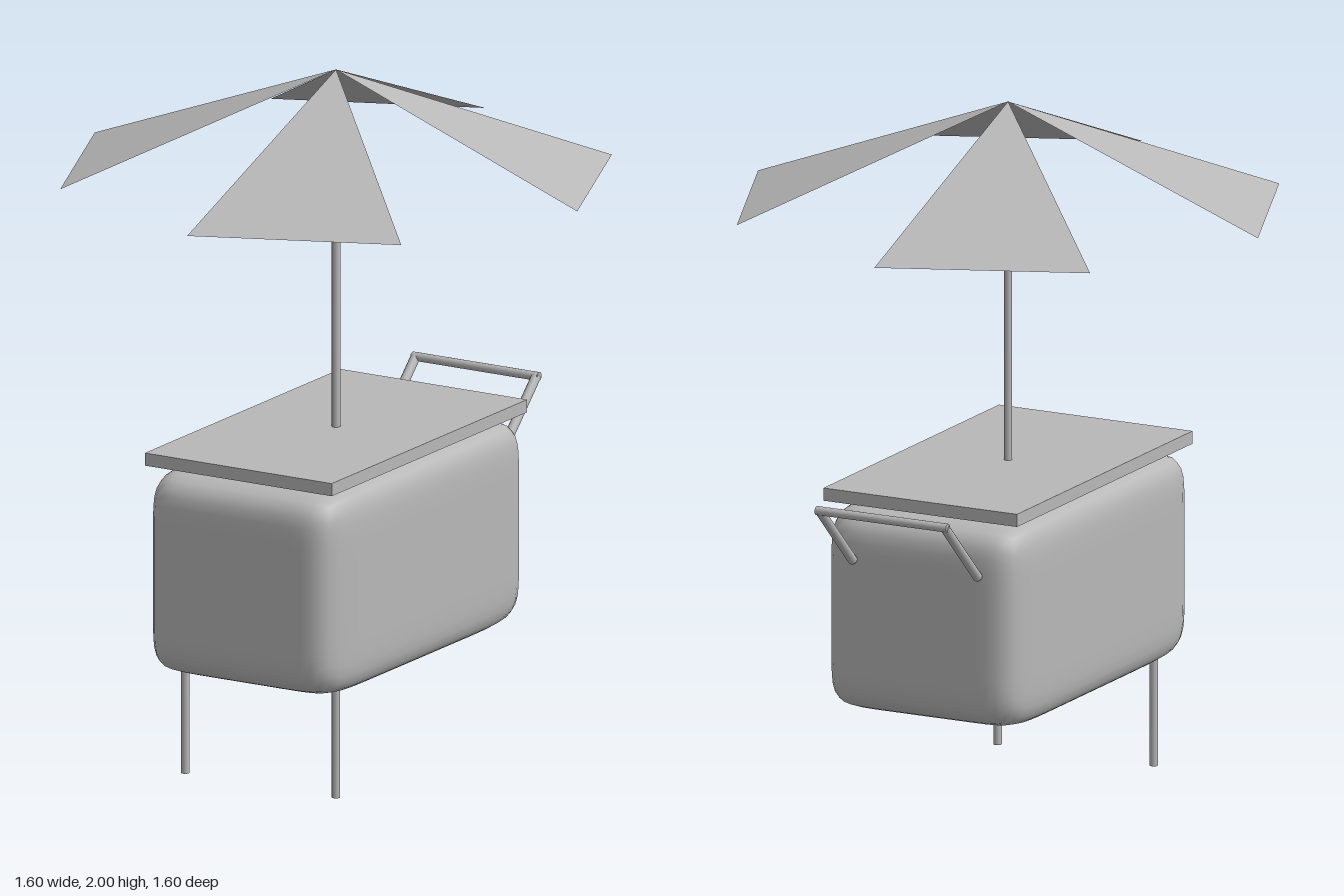
import * as THREE from 'three';
import { mergeVertices } from 'three/addons/utils/BufferGeometryUtils.js';

export function createModel() {
  const group = new THREE.Group();
  const grey = new THREE.MeshStandardMaterial({ color: 0xb8b8b8, side: THREE.DoubleSide });
  grey.name = 'plain grey';

  const add = (name, geometry) => {
    const mesh = new THREE.Mesh(geometry, grey);
    mesh.name = name;
    group.add(mesh);
    return mesh;
  };

  // Round bar between two points
  const bar = (name, a, b, radius) => {
    const from = new THREE.Vector3(...a), to = new THREE.Vector3(...b);
    const dir = to.clone().sub(from);
    const mesh = add(name, new THREE.CylinderGeometry(radius, radius, dir.length(), 12));
    mesh.position.copy(from).add(to).multiplyScalar(0.5);
    mesh.quaternion.setFromUnitVectors(new THREE.Vector3(0, 1, 0), dir.normalize());
    return mesh;
  };

  // Cart body: a cube pulled onto a soft, slightly bulging box
  let body = new THREE.BoxGeometry(2, 2, 2, 20, 20, 20);
  body.deleteAttribute('uv');
  body.deleteAttribute('normal');
  body = mergeVertices(body);
  const pos = body.attributes.position;
  const v = new THREE.Vector3();
  const n = 9;
  for (let i = 0; i < pos.count; i++) {
    v.fromBufferAttribute(pos, i);
    const sum = Math.abs(v.x) ** n + Math.abs(v.y) ** n + Math.abs(v.z) ** n;
    v.multiplyScalar(sum ** (-1 / n));
    pos.setXYZ(i, v.x * 0.316, v.y * 0.3, v.z * 0.55);
  }
  body.computeVertexNormals();
  add('body', body).position.y = 0.605;

  // Flat lid floating just above the body
  add('lid', new THREE.BoxGeometry(0.62, 0.037, 1.05)).position.y = 0.937;

  // Front legs
  for (const s of [-1, 1]) {
    bar(s > 0 ? 'leftLeg' : 'rightLeg', [s * 0.25, 0, 0.405], [s * 0.25, 0.34, 0.405], 0.012);
  }

  // Push handle at the back
  for (const s of [-1, 1]) {
    bar(s > 0 ? 'leftHandleArm' : 'rightHandleArm', [s * 0.2, 0.765, -0.555], [s * 0.2, 0.955, -0.752], 0.014);
  }
  bar('handleGrip', [-0.21, 0.955, -0.752], [0.21, 0.955, -0.752], 0.013);

  // Parasol pole
  bar('pole', [0, 0.95, 0], [0, 1.88, 0], 0.012);

  // Parasol: every other panel of an eight-sided cone
  for (let k = 0; k < 4; k++) {
    const a = k * Math.PI / 2, b = a + Math.PI / 4;
    const panel = new THREE.BufferGeometry().setFromPoints([
      new THREE.Vector3(0, 2, 0),
      new THREE.Vector3(0.8 * Math.cos(a), 1.7, -0.8 * Math.sin(a)),
      new THREE.Vector3(0.8 * Math.cos(b), 1.7, -0.8 * Math.sin(b)),
    ]);
    panel.computeVertexNormals();
    add('parasolPanel' + (k + 1), panel);
  }

  return group;
}
